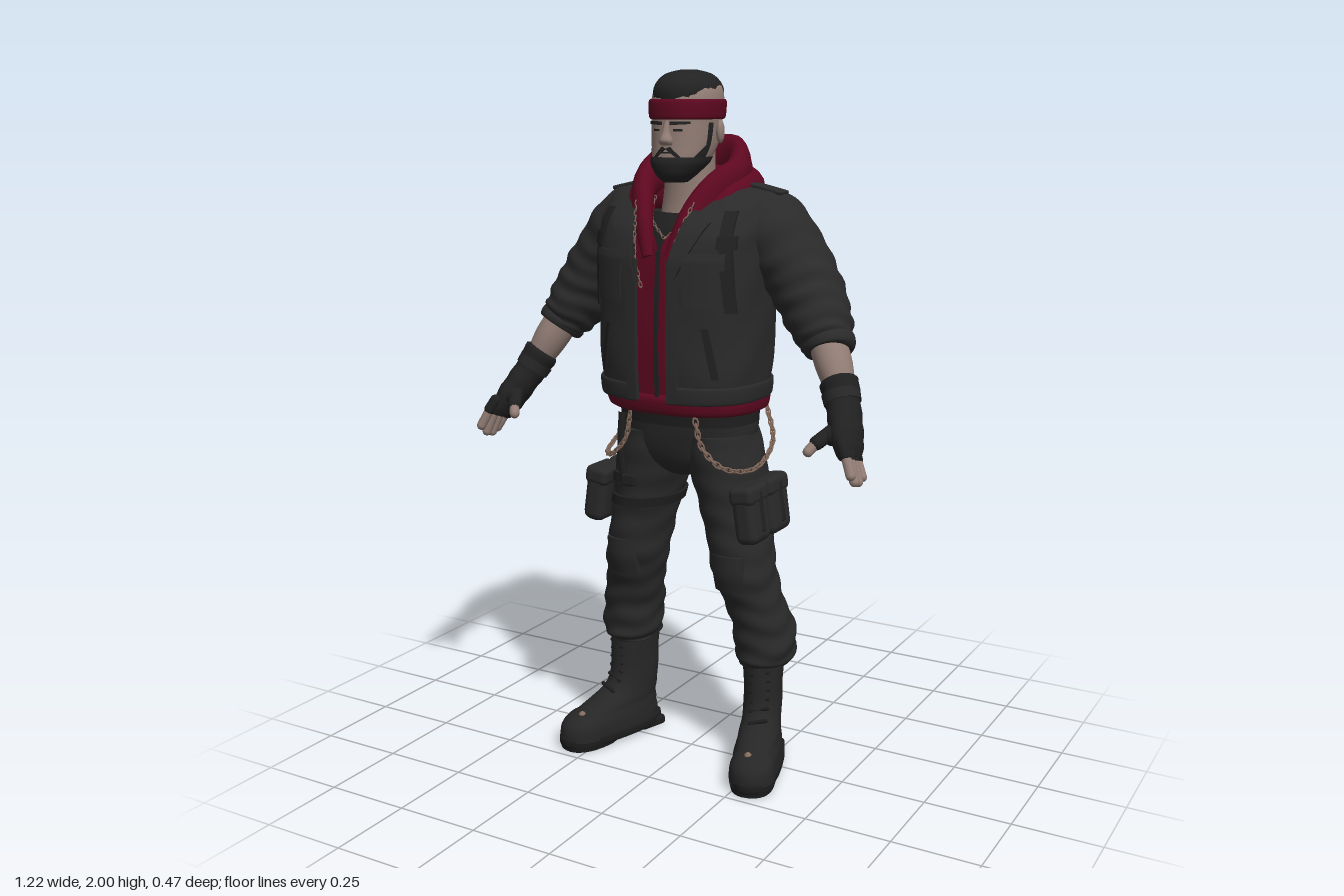
import * as THREE from 'three';
import { RoundedBoxGeometry } from 'three/addons/geometries/RoundedBoxGeometry.js';

const V = (x, y, z) => new THREE.Vector3(x, y, z);
const mat = (name, color, side = THREE.FrontSide) => Object.assign(new THREE.MeshStandardMaterial({ color, side }), { name });

// Smoothly interpolate rows of numbers
function smooth(rows, sub) {
  const out = [], at = i => rows[Math.max(0, Math.min(rows.length - 1, i))];
  for (let i = 0; i < rows.length - 1; i++) for (let k = 0; k < sub; k++) {
    const t = k / sub;
    out.push(at(i).map((b, c) => {
      const a = at(i - 1)[c], d = at(i + 1)[c], e = at(i + 2)[c];
      return b + 0.5 * t * (d - a + t * (2 * a - 5 * b + 4 * d - e + t * (3 * (b - d) + e - a)));
    }));
  }
  out.push(rows[rows.length - 1]);
  return out;
}

// Skin over rings [x, y, z, rA, rB, gap]; horizontal, or across the path when ref is given
function loft(rings, { seg = 28, sub = 4, n = 2, ref = null, wrinkle = null, arc = null } = {}) {
  const R = smooth(rings, sub), pos = [], idx = [], cols = arc ? seg + 1 : seg;
  const P = r => V(r[0], r[1], r[2]);
  R.forEach((r, i) => {
    let A = V(1, 0, 0), B = V(0, 0, 1);
    if (ref) {
      const T = P(R[Math.min(i + 1, R.length - 1)]).sub(P(R[Math.max(i - 1, 0)])).normalize();
      A = T.clone().cross(ref).normalize();
      B = A.clone().cross(T);
    }
    const [a0, a1] = arc ? arc(r) : [0, Math.PI * 2];
    for (let j = 0; j < cols; j++) {
      const a = a0 + (a1 - a0) * j / seg, c = Math.cos(a), s = Math.sin(a);
      const w = wrinkle ? 1 + wrinkle(i / (R.length - 1), a) : 1;
      const p = P(r).addScaledVector(A, w * r[3] * Math.sign(c) * Math.abs(c) ** (2 / n))
        .addScaledVector(B, w * r[4] * Math.sign(s) * Math.abs(s) ** (2 / n));
      pos.push(p.x, p.y, p.z);
    }
  });
  for (let i = 0; i < R.length - 1; i++) for (let j = 0; j < seg; j++) {
    const a = i * cols + j, b = i * cols + (j + 1) % cols;
    idx.push(a, a + cols, b, a + cols, b + cols, b);
  }
  if (!arc) for (const [row, flip] of [[0, false], [R.length - 1, true]]) {
    const base = pos.length / 3;
    pos.push(...pos.slice(row * cols * 3, (row + 1) * cols * 3), ...R[row].slice(0, 3));
    for (let j = 0; j < seg; j++) {
      const a = base + j, b = base + (j + 1) % seg;
      flip ? idx.push(b, a, base + seg) : idx.push(a, b, base + seg);
    }
  }
  const g = new THREE.BufferGeometry();
  g.setAttribute('position', new THREE.Float32BufferAttribute(pos, 3));
  g.setIndex(idx);
  g.computeVertexNormals();
  return g;
}

// Depth of a lofted body at (x, y), front (+1) or back (-1)
const surface = (rings, n) => (x, y, sign = 1) => {
  let i = 0;
  while (i < rings.length - 2 && y > rings[i + 1][1]) i++;
  const p = rings[i], q = rings[i + 1], t = Math.min(1, Math.max(0, (y - p[1]) / (q[1] - p[1])));
  const [, , z, rx, rz] = p.map((v, c) => v + (q[c] - v) * t);
  return z + sign * rz * Math.max(0, 1 - Math.abs(x / rx) ** n) ** (1 / n);
};

// Slab with corners bl, br, tr, tl bent over a surface
function plate([bl, br, tr, tl], thick, surf, sign = 1) {
  const g = new THREE.BoxGeometry(1, 1, thick, 6, 8, 1), p = g.attributes.position;
  for (let i = 0; i < p.count; i++) {
    const u = p.getX(i) + 0.5, v = p.getY(i) + 0.5;
    const m = c => (bl[c] * (1 - u) + br[c] * u) * (1 - v) + (tl[c] * (1 - u) + tr[c] * u) * v;
    const x = m(0) * sign, y = m(1);
    p.setXYZ(i, x, y, surf(x, y, sign) + sign * p.getZ(i));
  }
  g.computeVertexNormals();
  return g;
}
const rect = (x0, x1, y0, y1) => [[x0, y0], [x1, y0], [x1, y1], [x0, y1]];

function rod(p, q, r) {
  const d = q.clone().sub(p), g = new THREE.CapsuleGeometry(r, d.length(), 4, 10);
  g.applyQuaternion(new THREE.Quaternion().setFromUnitVectors(V(0, 1, 0), d.normalize()));
  const c = p.clone().add(q).multiplyScalar(0.5);
  return g.translate(c.x, c.y, c.z);
}
const tube = (pts, r) => new THREE.TubeGeometry(new THREE.CatmullRomCurve3(pts), 40, r, 6);
const block = (w, h, d, x, y, z, r = 0.015) => new RoundedBoxGeometry(w, h, d, 2, r).translate(x, y, z);

function mirrored(geo) {
  const g = geo.clone().scale(-1, 1, 1);
  const a = g.index ? Array.from(g.index.array) : Array.from({ length: g.attributes.position.count }, (_, i) => i);
  for (let i = 0; i < a.length; i += 3) [a[i], a[i + 1]] = [a[i + 1], a[i]];
  g.setIndex(a);
  return g;
}

export function createModel() {
  const model = new THREE.Group();
  const D = THREE.DoubleSide, PI = Math.PI, Z = V(0, 0, 1), Y = V(0, 1, 0);
  const cloth = mat('charcoal cloth', 0x2a2a2b, D), trouser = mat('trouser grey', 0x292929), strap = mat('black webbing', 0x202020);
  const leather = mat('boot leather', 0x262626), red = mat('deep red', 0x5e0820, D), skin = mat('skin', 0x927d75);
  const hair = mat('dark hair', 0x232222, D), metal = mat('dull metal', 0x866c5e), sole = mat('rubber sole', 0x1d1d1d);
  const add = (name, geo, m) => {
    const mesh = new THREE.Mesh(geo, m);
    mesh.name = name;
    model.add(mesh);
  };
  const both = (name, geo, m) => { add(name + 'Left', geo, m); add(name + 'Right', mirrored(geo), m); };
  const chain = (name, pts, count, r) => {
    const curve = new THREE.CatmullRomCurve3(pts);
    for (let i = 0; i < count; i++) {
      const g = new THREE.TorusGeometry(r, r * 0.35, 4, 8).scale(0.75, 1.4, 1).rotateY(i % 2 * PI / 2);
      g.applyQuaternion(new THREE.Quaternion().setFromUnitVectors(Y, curve.getTangentAt((i + 0.5) / count)));
      const p = curve.getPointAt((i + 0.5) / count);
      both(name, g.translate(p.x, p.y, p.z), metal);
    }
  };
  const gapArc = n => r => {
    const d = PI / 2 - Math.acos(Math.min(0.95, (Math.max(r[5], 0.001) / r[3]) ** (n / 2)));
    return [PI / 2 + d, PI * 2.5 - d];
  };

  // Head, face and hair
  const headRings = [[0, 1.715, 0.075, 0.04, 0.045], [0, 1.75, 0.06, 0.07, 0.08], [0, 1.8, 0.035, 0.084, 0.103], [0, 1.86, 0.024, 0.088, 0.113],
    [0, 1.92, 0.018, 0.091, 0.115], [0, 1.965, 0.01, 0.075, 0.1], [0, 1.985, 0.005, 0.03, 0.04]];
  const face = surface(headRings, 2.2);
  const grown = (rings, k) => rings.map(r => r.map((v, c) => c === 3 || c === 4 ? v + k : v));
  add('head', loft(headRings, { n: 2.2 }), skin);
  add('neck', loft([[0, 1.54, 0, 0.1, 0.1], [0, 1.62, 0, 0.085, 0.08], [0, 1.7, 0.005, 0.072, 0.072], [0, 1.8, 0.01, 0.07, 0.075]]), skin);
  add('hair', loft([[0, 1.915, 0.018, 0.08, 0.115], [0, 1.945, 0.016, 0.084, 0.119], [0, 1.97, 0.015, 0.074, 0.108], [0, 1.99, 0.012, 0.052, 0.08], [0, 2, 0.01, 0.02, 0.03]],
    { n: 2.2, wrinkle: (t, a) => 0.015 * Math.sin(a * 9 + t * 4) }), hair);
  add('beard', loft([[0, 1.7, 0.085, 0.03, 0.04], [0, 1.72, 0.08, 0.053, 0.065], [0, 1.75, 0.062, 0.075, 0.09], [0, 1.768, 0.052, 0.079, 0.095]], { n: 2.2 }), hair);
  both('sideburn', loft(grown(headRings.slice(1, 4), 0.004), { n: 2.2, seg: 8, arc: r => [0.1, 0.28 + 10 * Math.max(0, 1.8 - r[1])] }), hair);
  both('moustache', plate([[0.033, 1.766], [0.043, 1.766], [0.012, 1.796], [0, 1.79]], 0.01, face), hair);
  add('mouth', plate(rect(-0.022, 0.022, 1.778, 1.782), 0.006, face), hair);
  both('eyebrow', plate([[0.014, 1.853], [0.06, 1.856], [0.06, 1.863], [0.014, 1.863]], 0.014, face), hair);
  both('eye', plate(rect(0.022, 0.044, 1.837, 1.843), 0.006, face), hair);
  add('nose', loft([[0, 1.8, 0.135, 0.017, 0.012], [0, 1.812, 0.138, 0.02, 0.022], [0, 1.835, 0.136, 0.011, 0.014], [0, 1.865, 0.132, 0.008, 0.008]], { seg: 12 }), skin);
  both('ear', new THREE.SphereGeometry(1, 12, 10).scale(0.012, 0.032, 0.02).rotateY(0.3).translate(0.091, 1.835, 0), skin);
  add('headband', loft([[0, 1.868, 0.022, 0.09, 0.115], [0, 1.876, 0.021, 0.096, 0.121], [0, 1.912, 0.019, 0.098, 0.123], [0, 1.922, 0.018, 0.094, 0.118]], { n: 2.2 }), red);
  add('headbandKnot', block(0.045, 0.04, 0.02, 0, 1.89, -0.103, 0.009), red);
  both('headbandTail', rod(V(0.01, 1.88, -0.1), V(0.028, 1.82, -0.088), 0.01), red);

  // Undershirt and hoodie
  add('undershirt', loft([[0, 1.4, 0.01, 0.15, 0.15], [0, 1.55, 0.01, 0.14, 0.125], [0, 1.615, 0.005, 0.11, 0.09]]), strap);
  const hoodie = [[0, 1.12, 0.018, 0.222, 0.172, 0], [0, 1.25, 0.02, 0.225, 0.175, 0], [0, 1.4, 0.012, 0.23, 0.178, 0], [0, 1.52, 0.003, 0.23, 0.176, 0.004],
    [0, 1.58, -0.005, 0.21, 0.16, 0.035], [0, 1.64, -0.02, 0.15, 0.12, 0.06]];
  const hoodieFront = surface(hoodie, 2.4);
  add('hoodieBody', loft(hoodie, { seg: 40, n: 2.4, arc: gapArc(2.4) }), red);
  add('hoodieHem', loft([[0, 1.065, 0.015, 0.215, 0.165], [0, 1.075, 0.016, 0.232, 0.178], [0, 1.11, 0.018, 0.236, 0.182], [0, 1.125, 0.018, 0.22, 0.17]],
    { seg: 40, n: 2.4, wrinkle: (t, a) => 0.004 * Math.sin(a * 50) }), red);
  add('zipper', plate(rect(-0.006, 0.006, 1.08, 1.52), 0.012, hoodieFront), strap);
  const wrap = half => [...half, ...half.slice(0, -1).reverse().map(r => [-r[0], ...r.slice(1)])];
  const fold = (t, a) => 0.06 * Math.sin(t * 26 + a * 2);
  add('hoodInnerRoll', loft(wrap([[0.035, 1.5, 0.175, 0.018, 0.02], [0.072, 1.6, 0.14, 0.028, 0.035], [0.115, 1.68, 0.065, 0.032, 0.048],
    [0.13, 1.72, -0.03, 0.033, 0.055], [0.09, 1.755, -0.105, 0.034, 0.06], [0, 1.765, -0.14, 0.036, 0.06]]), { seg: 14, ref: Y, wrinkle: fold }), red);
  add('hoodOuterRoll', loft(wrap([[0.1, 1.59, 0.13, 0.02, 0.025], [0.14, 1.65, 0.05, 0.032, 0.045], [0.143, 1.67, -0.06, 0.042, 0.06],
    [0.095, 1.675, -0.145, 0.048, 0.07], [0, 1.67, -0.185, 0.052, 0.075]]), { seg: 14, ref: Y, wrinkle: fold }), red);
  add('hoodBag', loft([[0, 1.535, -0.165, 0.05, 0.03], [0, 1.56, -0.15, 0.11, 0.075], [0, 1.62, -0.135, 0.145, 0.1], [0, 1.69, -0.11, 0.145, 0.1], [0, 1.74, -0.1, 0.1, 0.06]],
    { wrinkle: (t, a) => 0.02 * Math.sin(t * 18 - 2 * Math.sin(a)) }), red);
  chain('drawstringChain', [V(0.09, 1.65, 0.145), V(0.07, 1.57, 0.19), V(0.055, 1.5, 0.212), V(0.045, 1.42, 0.2)], 16, 0.006);
  chain('necklace', [V(0.075, 1.66, 0.07), V(0.055, 1.6, 0.12), V(0, 1.55, 0.15)], 12, 0.005);

  // Jacket
  const N = 2.5;
  const jacket = [[0, 1.11, 0.025, 0.233, 0.192, 0.05], [0, 1.2, 0.025, 0.243, 0.198, 0.05], [0, 1.35, 0.018, 0.248, 0.205, 0.05], [0, 1.5, 0.01, 0.255, 0.21, 0.052],
    [0, 1.58, 0, 0.258, 0.192, 0.075], [0, 1.64, -0.02, 0.255, 0.155, 0.1], [0, 1.675, -0.035, 0.235, 0.11, 0.11], [0, 1.69, -0.04, 0.16, 0.07, 0.1]];
  const chest = surface(jacket, N);
  add('jacketBody', loft(jacket, { seg: 56, n: N, sub: 6, arc: gapArc(N), wrinkle: (t, a) => 0.007 * Math.sin(t * 30 + 5 * Math.sin(a * 2)) }), cloth);
  add('jacketHem', loft([[0, 1.105, 0.025, 0.232, 0.19, 0.05], [0, 1.11, 0.025, 0.241, 0.198, 0.05], [0, 1.15, 0.025, 0.245, 0.201, 0.05], [0, 1.155, 0.025, 0.238, 0.194, 0.05]],
    { seg: 56, n: N, arc: gapArc(N) }), cloth);
  both('jacketPlacket', plate(rect(0.048, 0.08, 1.11, 1.5), 0.016, chest), cloth);
  both('lapel', plate([[0.05, 1.45], [0.075, 1.45], [0.15, 1.6], [0.085, 1.64]], 0.024, chest), cloth);
  both('chestPocket', plate(rect(0.1, 0.195, 1.38, 1.5), 0.016, chest), cloth);
  both('chestPocketFlap', plate(rect(0.095, 0.2, 1.475, 1.52), 0.024, chest), cloth);
  both('slashPocket', plate([[0.17, 1.18], [0.185, 1.18], [0.16, 1.32], [0.145, 1.32]], 0.014, chest), strap);
  both('harnessStrap', plate([[0.2, 1.36], [0.222, 1.36], [0.205, 1.63], [0.175, 1.63]], 0.022, chest), strap);
  both('harnessBuckle', plate(rect(0.178, 0.22, 1.53, 1.565), 0.032, chest), strap);
  both('harnessBack', plate([[0.01, 1.46], [0.21, 1.6], [0.18, 1.63], [0.01, 1.5]], 0.02, chest, -1), cloth);
  add('yokeSeam', tube([-0.22, -0.16, -0.08, 0, 0.08, 0.16, 0.22].map(x => { const y = 1.43 + 3.2 * x * x; return V(x, y, chest(x, y, -1)); }), 0.007), cloth);
  both('epaulette', block(0.1, 0.012, 0.055, 0, 0, 0, 0.005).rotateZ(-0.22).translate(0.222, 1.682, -0.04), cloth);

  // Sleeves, forearms and hands
  both('sleeve', loft([[0.14, 1.61, -0.045, 0.075, 0.11], [0.215, 1.575, -0.048, 0.108, 0.13], [0.3, 1.48, -0.046, 0.1, 0.12], [0.36, 1.39, -0.03, 0.095, 0.108],
    [0.41, 1.31, -0.003, 0.082, 0.092], [0.437, 1.268, 0.013, 0.064, 0.072]],
    { sub: 11, seg: 36, ref: Z, wrinkle: (t, a) => (0.008 + 0.035 * t) * (Math.sin(t * 52 + 2.4 * Math.sin(a + 1) + Math.sin(a * 3)) + 0.5 * Math.sin(t * 31 - 3 * a)) }), cloth);
  both('sleeveCuff', loft([[0.425, 1.288, 0.005, 0.06, 0.066], [0.433, 1.278, 0.01, 0.071, 0.078], [0.443, 1.26, 0.017, 0.067, 0.073], [0.446, 1.254, 0.02, 0.05, 0.056]], { ref: Z }), cloth);
  both('forearm', loft([[0.43, 1.285, 0.015, 0.05, 0.056], [0.465, 1.22, 0.04, 0.049, 0.055], [0.5, 1.15, 0.065, 0.036, 0.04]], { ref: Z }), skin);
  both('glove', loft([[0.483, 1.188, 0.052, 0.042, 0.045], [0.488, 1.178, 0.057, 0.052, 0.055], [0.51, 1.13, 0.08, 0.046, 0.05], [0.531, 1.085, 0.11, 0.042, 0.057],
    [0.551, 1.04, 0.14, 0.037, 0.058], [0.567, 1.003, 0.158, 0.024, 0.046]], { ref: Z, wrinkle: (t, a) => 0.03 * Math.sin(t * 34 + a) }), strap);
  both('gloveStrap', loft([[0.497, 1.155, 0.067, 0.052, 0.055], [0.508, 1.132, 0.078, 0.05, 0.053]], { ref: Z }), leather);
  for (let i = 0; i < 4; i++) {
    const z = 0.118 + i * 0.025, y = 1.0 + i * 0.009, drop = [0.045, 0.062, 0.065, 0.052][i];
    const a = V(0.558, y + 0.025, z), b = V(0.574, y - 0.004, z + 0.01), c = V(0.595, y - drop, z + 0.024);
    both('gloveFinger', rod(a, b, 0.0165), strap);
    both('finger', rod(b, c, 0.0138), skin);
  }
  both('thumbBase', rod(V(0.53, 1.09, 0.115), V(0.515, 1.06, 0.16), 0.027), strap);
  both('gloveThumb', rod(V(0.52, 1.08, 0.135), V(0.488, 1.045, 0.195), 0.02), strap);
  both('thumb', rod(V(0.486, 1.044, 0.198), V(0.473, 1.024, 0.216), 0.0145), skin);

  // Trousers
  add('trouserHips', loft([[0, 0.87, -0.005, 0.06, 0.08], [0, 0.92, -0.003, 0.17, 0.128], [0, 1.0, 0.002, 0.2, 0.143], [0, 1.09, 0.01, 0.2, 0.15]],
    { n: 2.3, wrinkle: (t, a) => 0.012 * Math.sin(t * 12 + a * 4) }), trouser);
  add('belt', loft([[0, 1.03, 0.007, 0.205, 0.152], [0, 1.07, 0.01, 0.207, 0.156]], { n: 2.3 }), strap);
  const leg = [[0.225, 0.305, -0.045, 0.068, 0.085], [0.229, 0.335, -0.042, 0.085, 0.101], [0.222, 0.42, -0.038, 0.089, 0.102], [0.2, 0.51, -0.012, 0.086, 0.096],
    [0.18, 0.6, 0.006, 0.09, 0.108], [0.163, 0.7, 0.003, 0.092, 0.115], [0.143, 0.8, -0.002, 0.099, 0.126], [0.122, 0.9, 0, 0.106, 0.134], [0.1, 1.0, 0.002, 0.1, 0.138]];
  both('trouserLeg', loft(leg, { sub: 10, seg: 36, wrinkle: (t, a) => (0.038 - 0.03 * t) * (Math.sin(t * 62 + 2.5 * Math.sin(a + 0.6) + Math.sin(3 * a)) + 0.5 * Math.sin(t * 37 + 3 * a)) }), trouser);
  const thigh = surface(leg, 2);
  both('kneePatch', plate(rect(0.13, 0.225, 0.55, 0.66), 0.014, (x, y, s) => thigh(x - 0.178, y, s)), trouser);
  const onThigh = g => g.rotateZ(0.14).translate(0.246, 0.79, 0);
  for (const [z, d] of [[0.095, 0.11], [-0.03, 0.115]]) {
    both('thighPouch', onThigh(block(0.07, 0.16, d, 0, 0, z, 0.025)), trouser);
    both('thighPouchFlap', onThigh(block(0.076, 0.055, d + 0.006, 0, 0.06, z, 0.018)), trouser);
    both('thighPouchStrap', onThigh(block(0.078, 0.12, 0.02, 0, 0.01, z, 0.006)), strap);
  }

  // Leg rig on the right thigh
  for (const y of [0.78, 0.85]) add('thighStrap', loft([[-0.147, y - 0.014, -0.001, 0.104, 0.133], [-0.141, y + 0.014, -0.001, 0.106, 0.135]]), strap);
  add('hangingStrap', tube([V(-0.15, 1.05, 0.135), V(-0.155, 0.95, 0.137), V(-0.15, 0.84, 0.13)], 0.011), strap);
  add('strapBuckle', block(0.045, 0.035, 0.016, -0.13, 0.85, 0.138, 0.006), strap);
  chain('hipChain', [V(0.105, 1.06, 0.165), V(0.125, 0.98, 0.16), V(0.18, 0.925, 0.142), V(0.24, 0.915, 0.075), V(0.243, 0.97, -0.04), V(0.185, 1.06, -0.115)], 30, 0.0095);

  // Boots, toes turned out
  const place = g => g.rotateY(0.32).translate(0.223, 0, -0.04);
  both('bootUpper', place(loft([[0, 0.025, 0.1, 0.067, 0.176], [0, 0.065, 0.1, 0.068, 0.175], [0, 0.095, 0.085, 0.062, 0.156], [0, 0.125, 0.05, 0.058, 0.12], [0, 0.165, 0.012, 0.056, 0.087],
    [0, 0.25, 0.002, 0.057, 0.08], [0, 0.33, 0, 0.061, 0.082], [0, 0.355, 0, 0.061, 0.08]], { n: 2.2, wrinkle: (t, a) => 0.012 * Math.sin(t * 34 + 2 * Math.sin(a)) })), leather);
  both('bootSole', place(loft([[0, 0.012, 0.1, 0.069, 0.182], [0, 0.02, 0.1, 0.073, 0.186], [0, 0.038, 0.1, 0.073, 0.186], [0, 0.042, 0.1, 0.066, 0.178]], { n: 2.4 })), sole);
  both('bootHeel', place(block(0.115, 0.03, 0.09, 0, 0.015, -0.03, 0.01)), sole);
  both('bootTread', place(loft([[0, 0, 0.185, 0.062, 0.092], [0, 0.02, 0.185, 0.067, 0.095]], { n: 2.4 })), sole);
  both('toeCap', place(loft([[0, 0.03, 0.205, 0.067, 0.077], [0, 0.07, 0.202, 0.064, 0.075], [0, 0.098, 0.19, 0.048, 0.055], [0, 0.108, 0.18, 0.02, 0.025]])), leather);
  both('bootStud', place(new THREE.SphereGeometry(0.012, 8, 6).translate(-0.01, 0.1, 0.22)), metal);
  for (let i = 0; i < 7; i++) {
    const y = 0.15 + i * 0.027, z = [0.11, 0.084, 0.076, 0.073, 0.072, 0.073, 0.074][i];
    both('bootLace', place(rod(V(-0.024, y, z), V(0.024, y + 0.012, z), 0.006)), sole);
  }
  return model;
}
